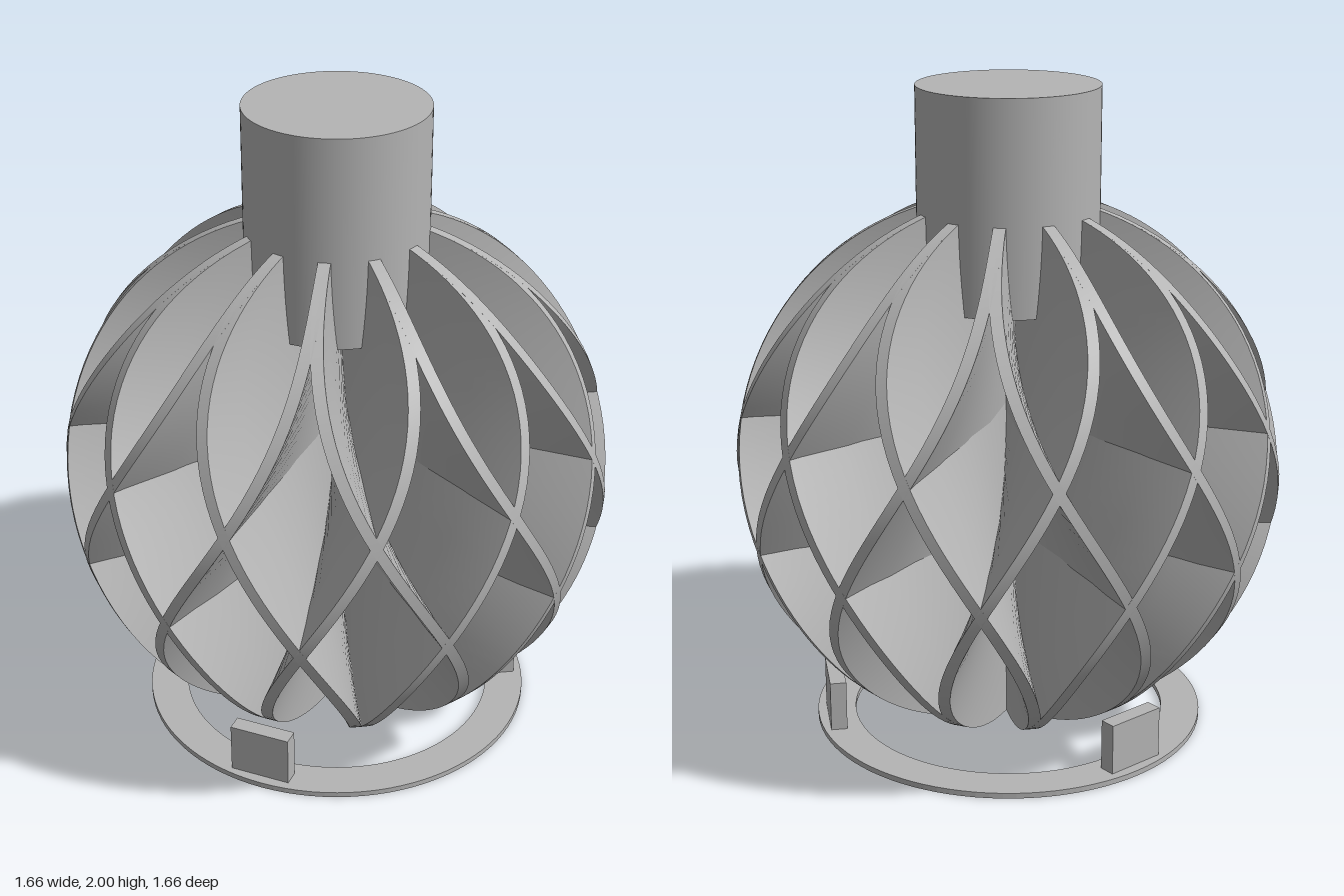
import * as THREE from 'three';

const R = 0.833;        // globe radius
const CY = 0.845;       // globe centre height
const THICK = 0.036;    // vane thickness
const TOP = 0.795;      // vanes stop here, just inside the neck

// Radial vane from the axis to the globe surface, twisted along its height
function vaneGeometry(sign) {
  const geo = new THREE.BoxGeometry(1, 1, THICK, 4, 56, 1);
  const pos = geo.attributes.position;
  const end = Math.acos(-TOP / R);
  for (let i = 0; i < pos.count; i++) {
    const polar = 0.02 + (pos.getY(i) + 0.5) * (end - 0.02);
    const h = -R * Math.cos(polar);
    const along = (pos.getX(i) + 0.5) * R * Math.sin(polar);
    const across = pos.getZ(i);
    const twist = THREE.MathUtils.degToRad(sign * (7.5 - 22.5 * Math.sin((Math.PI / 2) * (h / R))));
    const c = Math.cos(twist), s = Math.sin(twist);
    pos.setXYZ(i, along * c + across * s, CY + h, across * c - along * s);
  }
  geo.computeVertexNormals();
  return geo;
}

export function createModel() {
  const model = new THREE.Group();
  model.name = 'vanedGlobe';
  const grey = new THREE.MeshStandardMaterial({ color: 0xb4b4b4 });
  grey.name = 'plain grey';

  const add = (geo, name, parent = model) => {
    const mesh = new THREE.Mesh(geo, grey);
    mesh.name = name;
    parent.add(mesh);
    return mesh;
  };

  // Twelve vanes twisting each way
  const vanes = new THREE.Group();
  vanes.name = 'vanes';
  model.add(vanes);
  for (const sign of [1, -1]) {
    const geo = vaneGeometry(sign);
    for (let k = 0; k < 12; k++) {
      add(geo, sign > 0 ? 'leftTwistVane' : 'rightTwistVane', vanes).rotation.y = (k * Math.PI) / 6;
    }
  }

  // Solid neck
  add(new THREE.CylinderGeometry(0.274, 0.274, 0.64, 96), 'neck').position.y = 1.68;

  // Flat base ring
  const ring = new THREE.Shape().absarc(0, 0, 0.61, 0, Math.PI * 2);
  ring.holes.push(new THREE.Path().absarc(0, 0, 0.49, 0, Math.PI * 2, true));
  const ringGeo = new THREE.ExtrudeGeometry(ring, { depth: 0.017, bevelEnabled: false, curveSegments: 48 });
  add(ringGeo.rotateX(-Math.PI / 2), 'baseRing');

  // Three upright support blocks on the ring
  const blockGeo = new THREE.BoxGeometry(0.05, 0.165, 0.19);
  [[0.555, -0.02, 0], [-0.2925, 0.47, 120], [-0.2925, -0.47, 240]].forEach(([x, z, deg]) => {
    const block = add(blockGeo, 'supportBlock');
    block.position.set(x, 0.0925, z);
    block.rotation.y = -THREE.MathUtils.degToRad(deg);
  });

  return model;
}
